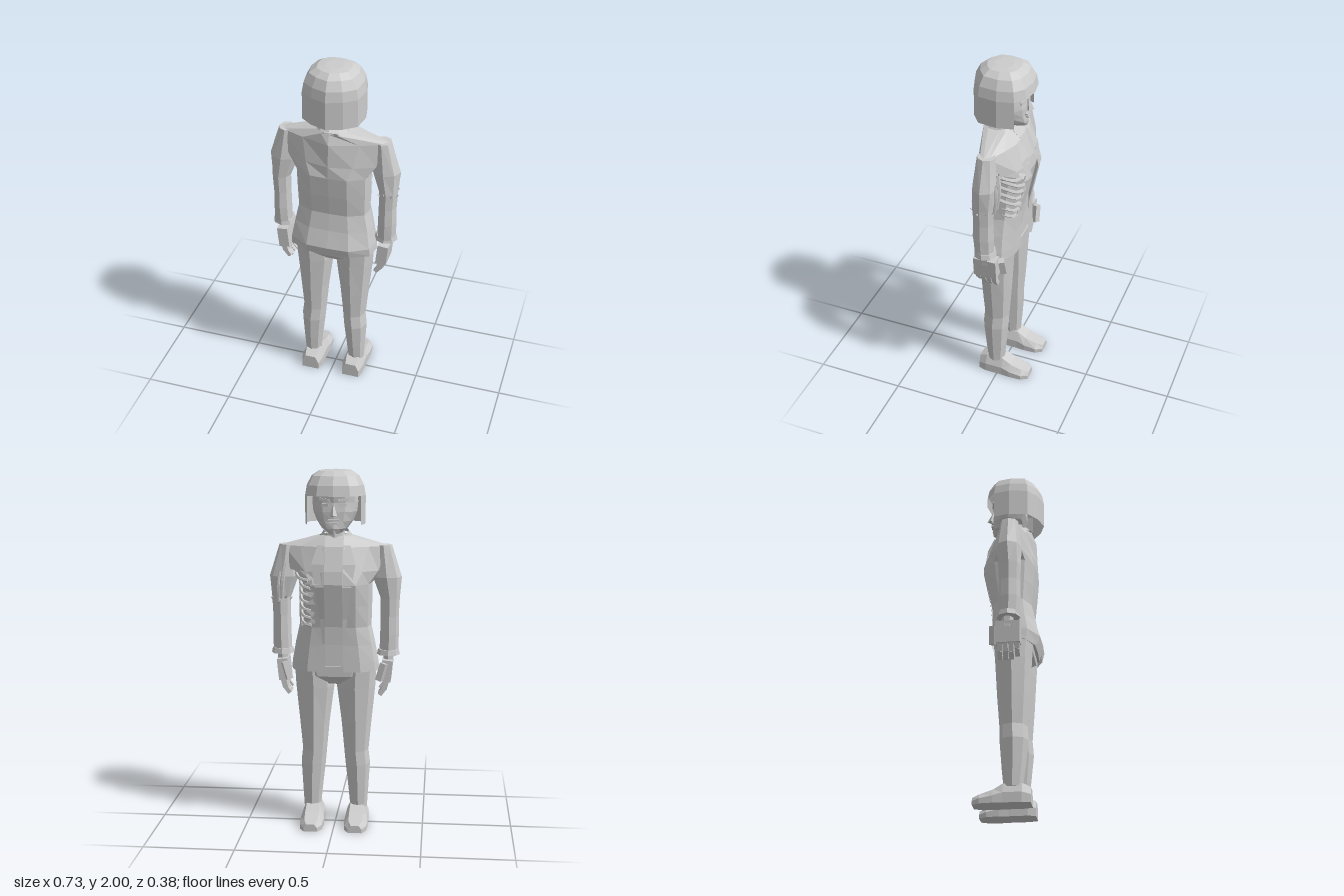
import * as THREE from 'three';

const grey = new THREE.MeshStandardMaterial({ color: 0xcccccc, flatShading: true, side: THREE.DoubleSide });
grey.name = 'plain grey';

function part(name, geometry, parent) {
  const g = geometry.index ? geometry.toNonIndexed() : geometry;
  g.computeVertexNormals();
  const mesh = new THREE.Mesh(g, grey);
  mesh.name = name;
  parent.add(mesh);
  return mesh;
}

// Skins a list of rings; each ring is a list of [x, y, z]
function loft(rings, { closed = true, bottom = true, top = true, skip = () => false } = {}) {
  const n = rings[0].length, pos = rings.flat(2), idx = [];
  for (let i = 0; i < rings.length - 1; i++) {
    for (let j = 0; j < (closed ? n : n - 1); j++) {
      if (skip(i, j)) continue;
      const a = i * n + j, b = i * n + (j + 1) % n;
      idx.push(a, a + n, b + n, a, b + n, b);
    }
  }
  const cap = (i, flip) => {
    const c = pos.length / 3;
    for (let k = 0; k < 3; k++) pos.push(rings[i].reduce((s, p) => s + p[k], 0) / n);
    for (let j = 0; j < n; j++) {
      const a = i * n + j, b = i * n + (j + 1) % n;
      idx.push(c, flip ? a : b, flip ? b : a);
    }
  };
  if (bottom) cap(0, true);
  if (top) cap(rings.length - 1, false);
  const g = new THREE.BufferGeometry();
  g.setAttribute('position', new THREE.Float32BufferAttribute(pos, 3));
  g.setIndex(idx);
  return g;
}

// Mirrors a half outline (front to back on the +x side) into a ring at height y
const mirrorRing = (half, y) => [
  ...half, ...half.filter(p => p[0] > 0).reverse().map(([x, z]) => [-x, z]),
].map(([x, z]) => [x, y, z]);

// Eight-sided limb; rows are [y, xCentre, xRadius, zCentre, zRadius]
const limb = rows => loft(rows.map(([y, xc, xr, zc, zr]) =>
  Array.from({ length: 8 }, (_, k) => {
    const a = k * Math.PI / 4;
    return [xc + xr * Math.cos(a), y, zc + zr * Math.sin(a)];
  })));

function box(name, w, h, d, x, y, z, parent) {
  const m = part(name, new THREE.BoxGeometry(w, h, d), parent);
  m.position.set(x, y, z);
  return m;
}

function rod(name, points, r, parent) {
  const curve = new THREE.CatmullRomCurve3(points.map(p => new THREE.Vector3(...p)));
  return part(name, new THREE.TubeGeometry(curve, 8, r, 5), parent);
}

// Jacket rows: y, half width, front z, back z, squareness
const jacketRows = [
  [0.90, 0.245, -0.10, 0.157, 1], [0.95, 0.24, -0.10, 0.17, 1], [1.05, 0.222, -0.10, 0.14, 1],
  [1.15, 0.2, -0.105, 0.122, 1], [1.27, 0.203, -0.13, 0.135, 1], [1.39, 0.205, -0.155, 0.145, 1],
  [1.46, 0.26, -0.145, 0.145, 0.7], [1.59, 0.31, -0.10, 0.14, 0.35], [1.645, 0.09, -0.05, 0.12, 1],
];

function jacketHalf([, w, zf, zb, p], edge = 0.055) {
  const zc = 0.015, f = zf - zc, b = zb - zc;
  return [[edge, zf], [0.6 * w, zc + f * (0.55 * p + 0.4)], [0.92 * w, zc + f * 0.55 * p], [w, zc],
    [0.93 * w, zc + b * 0.6 * p], [0.5 * w, zc + b * (0.55 * p + 0.42)], [0, zb]];
}

function rowAt(y) {
  const i = jacketRows.findIndex(r => r[0] >= y);
  const a = jacketRows[i - 1], b = jacketRows[i], t = (y - a[0]) / (b[0] - a[0]);
  return a.map((v, k) => v + (b[k] - v) * t);
}

function buildTorso(root) {
  const torso = new THREE.Group();
  torso.name = 'torso';
  root.add(torso);
  // Open jacket with a torn hole on one side of the chest
  const torn = (i, j) => (j === 1 && i >= 3 && i <= 5) || (j === 2 && (i === 4 || i === 5));
  part('jacket', loft(jacketRows.map(r => mirrorRing(jacketHalf(r), r[0])),
    { closed: false, bottom: false, top: false, skip: torn }), torso);
  part('shirt', loft(jacketRows.map(([y, w, zf, zb, p]) =>
    mirrorRing(jacketHalf([y, w - 0.022, zf + 0.02, zb - 0.015, p], 0.05), y))), torso);
  // Lapels along the opening
  for (const s of [1, -1]) {
    const strip = [1.06, 1.2, 1.38, 1.5, 1.6].map((y, k) => {
      const r = rowAt(y), outer = [0.06, 0.075, 0.1, 0.12, 0.09][k];
      return [[s * 0.05, y, r[2] - 0.004], [s * outer, y, r[2] + (outer - 0.05) * 0.15 - 0.004]];
    });
    part('lapel', loft(strip, { closed: false, bottom: false, top: false }), torso);
  }
  // Exposed ribs
  for (let k = 0; k < 7; k++) {
    const y = 1.17 + k * 0.042;
    const [, f1, f2, s] = jacketHalf(rowAt(y));
    rod('rib', [[s[0] - 0.02, y + 0.03, s[1]], [f2[0] - 0.005, y + 0.015, f2[1] + 0.005],
      [(f1[0] + f2[0]) / 2 + 0.01, y, (f1[1] + f2[1]) / 2 - 0.01], [f1[0], y - 0.01, f1[1] + 0.004]], 0.009, torso);
  }
  // Ragged cloth around the hole
  for (let k = 0; k < 6; k++) {
    const y = 1.18 + k * 0.055, f1 = jacketHalf(rowAt(y))[1];
    const rag = part('tornCloth', new THREE.ConeGeometry(0.018, 0.05, 3), torso);
    rag.position.set(f1[0] + 0.008, y, f1[1] - 0.002);
    rag.rotation.z = -Math.PI / 2 + (k % 2 ? 0.4 : -0.3);
    rag.scale.z = 0.4;
  }
  const collar = part('collar', new THREE.CylinderGeometry(0.072, 0.09, 0.035, 10, 1, true), torso);
  collar.position.set(0, 1.65, 0.035);
  collar.rotation.x = -0.32;
  const neck = part('neck', new THREE.CylinderGeometry(0.045, 0.055, 0.16, 8), torso);
  neck.position.set(0, 1.68, 0.012);
}

function buildHead(root) {
  const head = new THREE.Group();
  head.name = 'head';
  root.add(head);
  // Face rows: y, half width, front z, back z
  const face = [[1.662, 0.035, -0.11, -0.06], [1.69, 0.07, -0.117, 0.02], [1.73, 0.1, -0.112, 0.06],
    [1.78, 0.12, -0.112, 0.08], [1.83, 0.125, -0.106, 0.08], [1.89, 0.12, -0.115, 0.08]];
  part('face', loft(face.map(([y, w, f, b]) => mirrorRing(
    [[0, f], [0.5 * w, f + 0.01], [0.9 * w, f + 0.05], [w, (f + b) / 2 + 0.01], [0.6 * w, b], [0, b]], y))), head);
  // Bowl haircut with an opening for the face
  const outline = [[0, -0.15], [0.09, -0.135], [0.145, -0.09], [0.165, 0], [0.15, 0.105], [0.085, 0.155], [0, 0.185]];
  const hairRows = [[1.71, 1], [1.865, 1], [1.92, 0.94], [1.97, 0.78], [1.995, 0.55], [2, 0.3]];
  part('hair', loft(hairRows.map(([y, s]) => mirrorRing(
    outline.map(([x, z]) => [x * s, 0.02 + (z - 0.02) * s]), y)),
  { bottom: false, skip: (i, j) => i === 0 && (j < 2 || j > 9) }), head);
  // Features
  const nose = part('nose', new THREE.ConeGeometry(0.022, 0.075, 4), head);
  nose.position.set(0, 1.795, -0.118);
  nose.rotation.x = 0.2;
  box('upperLip', 0.06, 0.01, 0.014, 0, 1.738, -0.113, head);
  box('lowerLip', 0.048, 0.01, 0.014, 0, 1.722, -0.115, head);
  for (const s of [1, -1]) {
    box('brow', 0.06, 0.014, 0.02, s * 0.048, 1.845, -0.1, head).rotation.set(0, -s * 0.25, s * 0.15);
    box('eyelid', 0.042, 0.014, 0.014, s * 0.046, 1.817, -0.098, head).rotation.y = -s * 0.25;
  }
}

function buildArm(root, side) {
  const arm = new THREE.Group();
  arm.name = side > 0 ? 'leftArm' : 'rightArm';
  arm.scale.x = side;
  root.add(arm);
  part('sleeve', limb([[1.0, 0.297, 0.052, 0.02, 0.056], [1.1, 0.3, 0.052, 0.022, 0.06], [1.2, 0.3, 0.05, 0.022, 0.058],
    [1.3, 0.302, 0.053, 0.022, 0.063], [1.42, 0.285, 0.08, 0.015, 0.07], [1.595, 0.265, 0.045, 0.015, 0.05]]), arm);
  const cuff = part('cuff', new THREE.CylinderGeometry(0.058, 0.064, 0.03, 8), arm);
  cuff.position.set(0.295, 1.0, 0.015);
  part('wrist', new THREE.CylinderGeometry(0.032, 0.03, 0.08, 6), arm).position.set(0.295, 0.965, 0.01);
  // Hand
  box('palm', 0.06, 0.12, 0.13, 0.287, 0.9, 0.012, arm).rotation.z = -0.1;
  for (let k = 0; k < 4; k++) {
    const z = 0.06 - k * 0.031, drop = k === 0 ? 0.015 : 0;
    box('fingerBase', 0.03, 0.06, 0.027, 0.283, 0.825 + drop, z, arm).rotation.z = -0.25;
    box('fingerTip', 0.024, 0.045, 0.025, 0.264, 0.781 + drop, z, arm).rotation.z = -0.65;
  }
  box('thumb', 0.035, 0.1, 0.033, 0.262, 0.9, -0.07, arm).rotation.set(0.15, 0.4, -0.3);
  if (side < 0) return;
  // Damaged sleeve with exposed workings
  rod('exposedBone', [[0.27, 1.5, -0.05], [0.285, 1.4, -0.062], [0.295, 1.3, -0.05]], 0.012, arm);
  rod('exposedRod', [[0.3, 1.45, -0.05], [0.31, 1.37, -0.056], [0.31, 1.28, -0.044]], 0.008, arm);
  for (let k = 0; k < 8; k++) {
    const a = k * Math.PI / 4 + 0.2;
    const rag = part('tornSleeve', new THREE.ConeGeometry(0.013, 0.035, 3), arm);
    rag.position.set(0.301 + 0.052 * Math.cos(a), 1.28 + 0.012 * (k % 3), 0.022 + 0.06 * Math.sin(a));
    rag.rotation.set(Math.sin(a) * 0.9, 0, -Math.cos(a) * 0.9);
  }
}

function buildLeg(root, side) {
  const leg = new THREE.Group();
  leg.name = side > 0 ? 'leftLeg' : 'rightLeg';
  leg.scale.x = side;
  root.add(leg);
  part('trouserLeg', limb([[0.09, 0.132, 0.048, 0.02, 0.05], [0.2, 0.13, 0.057, 0.022, 0.063],
    [0.35, 0.126, 0.07, 0.024, 0.077], [0.43, 0.118, 0.069, 0.02, 0.075],
    [0.6, 0.118, 0.085, 0.02, 0.088], [0.8, 0.115, 0.108, 0.02, 0.1], [0.92, 0.12, 0.11, 0.02, 0.108]]), leg);
  // Shoe, skinned from heel to toe: z, half width, height
  const shoe = [[0.115, 0.05, 0.085], [0.07, 0.062, 0.108], [-0.03, 0.062, 0.108],
    [-0.08, 0.066, 0.078], [-0.15, 0.062, 0.055], [-0.19, 0.038, 0.042]];
  part('shoe', loft(shoe.map(([z, w, h]) => [[-w, 0], [w, 0], [w, 0.5 * h], [0.6 * w, h], [-0.6 * w, h], [-w, 0.5 * h]]
    .map(([x, y]) => [0.125 + x, y, z]))), leg);
}

export function createModel() {
  const root = new THREE.Group();
  root.name = 'figure';
  buildTorso(root);
  buildHead(root);
  // Trouser seat joining the legs
  part('trouserSeat', loft([[0.82, 0.06, -0.04, 0.08], [0.87, 0.18, -0.085, 0.122], [0.93, 0.222, -0.088, 0.13]]
    .map(([y, w, f, b]) => mirrorRing([[0.5 * w, f], [0.9 * w, f + 0.04], [w, 0.02], [0.9 * w, b - 0.04], [0.5 * w, b]], y))), root);
  for (const side of [1, -1]) {
    buildArm(root, side);
    buildLeg(root, side);
  }
  return root;
}
